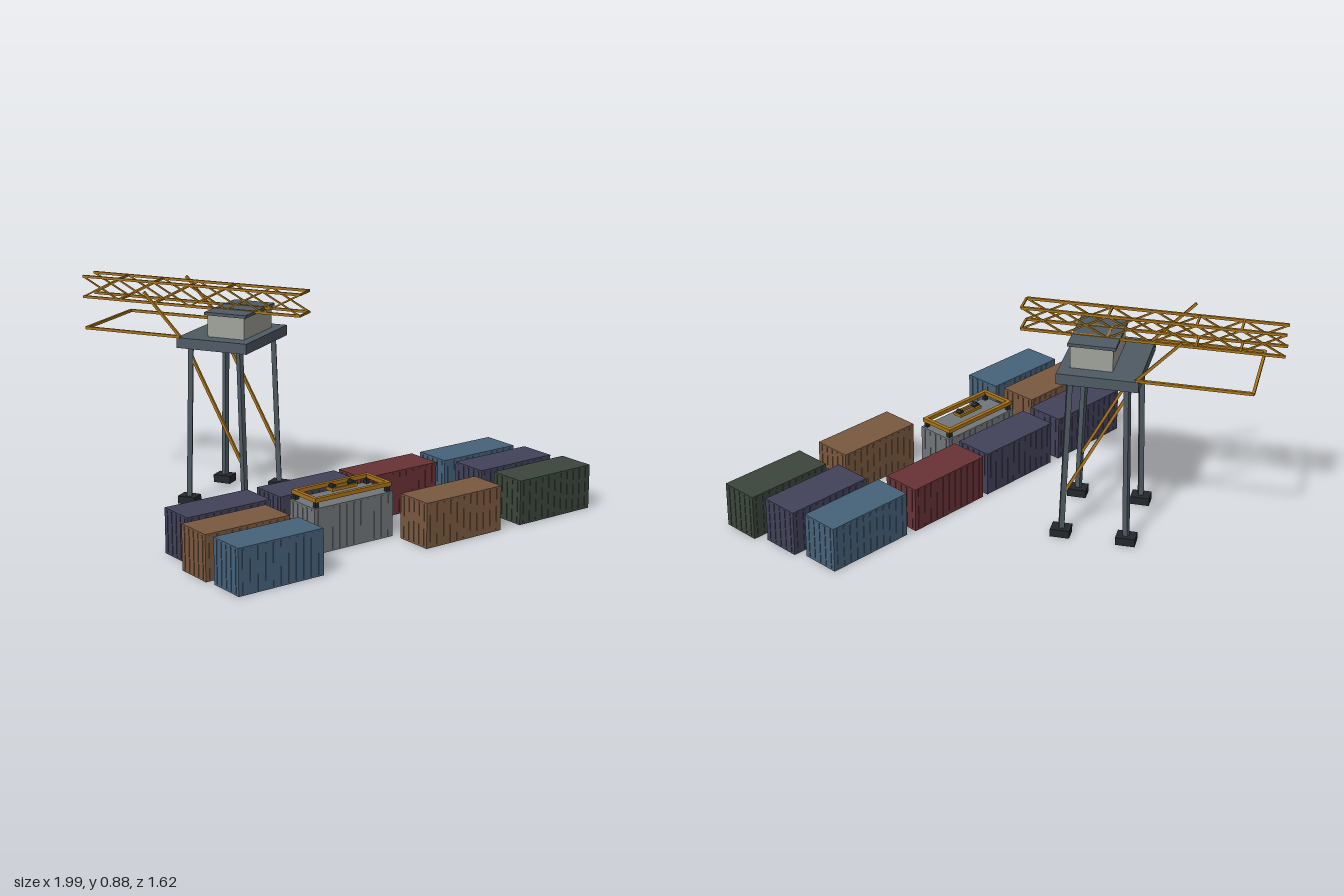
import * as THREE from 'three';

const mat = (color) => new THREE.MeshStandardMaterial({ color, flatShading: true });
const steel = mat(0x4f5a63), dark = mat(0x23272b), yellow = mat(0xa87318), wall = mat(0xa0a39b);

function box(parent, name, m, w, h, d, x, y, z) {
  const mesh = new THREE.Mesh(new THREE.BoxGeometry(w, h, d), m);
  mesh.position.set(x, y, z);
  mesh.name = name;
  parent.add(mesh);
  return mesh;
}

// Square bar running between two points
function beam(parent, name, m, a, b, t) {
  const p = new THREE.Vector3(...a), q = new THREE.Vector3(...b);
  const mesh = new THREE.Mesh(new THREE.BoxGeometry(t, t, p.distanceTo(q)), m);
  mesh.position.copy(p).add(q).multiplyScalar(0.5);
  mesh.lookAt(q);
  mesh.name = name;
  parent.add(mesh);
}

// Shipping container with ribbed walls and a door end
function container(color, x, z) {
  const g = new THREE.Group(), m = mat(color);
  const L = 0.37, W = 0.157, H = 0.18;
  g.name = 'container';
  box(g, 'containerBody', m, L, H, W, 0, H / 2, 0);
  for (let i = 0; i < 11; i++) {
    const rx = -0.165 + i * 0.033;
    for (const s of [-1, 1]) box(g, 'sideRib', m, 0.008, H - 0.014, 0.004, rx, H / 2, s * W / 2);
  }
  for (let i = 0; i < 5; i++) {
    const rz = -0.06 + i * 0.03;
    for (const s of [-1, 1]) box(g, 'endRib', m, 0.004, H - 0.014, 0.006, s * L / 2, H / 2, rz);
  }
  g.position.set(x, 0, z);
  g.rotation.y = Math.PI / 6;
  return g;
}

// Lifting frame resting on the grey container
function spreader(x, z) {
  const g = new THREE.Group();
  g.name = 'spreader';
  const a = 0.172, b = 0.068, y = 0.21;
  for (const s of [-1, 1]) {
    box(g, 'longBar', yellow, 2 * a + 0.016, 0.016, 0.016, 0, y, s * b);
    box(g, 'endBar', yellow, 0.016, 0.016, 2 * b, s * a, y, 0);
    box(g, 'blockSide', yellow, 0.12, 0.012, 0.009, 0, 0.215, s * 0.016);
    box(g, 'blockEnd', yellow, 0.01, 0.012, 0.032, s * 0.055, 0.215, 0);
    for (const t of [-1, 1]) box(g, 'cornerLock', dark, 0.016, 0.03, 0.016, s * (a - 0.004), 0.192, t * (b - 0.004));
    const wheel = new THREE.Mesh(new THREE.CylinderGeometry(0.012, 0.012, 0.024, 10), dark);
    wheel.rotation.x = Math.PI / 2;
    wheel.position.set(s * 0.045, 0.222, 0);
    wheel.name = 'pulley';
    g.add(wheel);
  }
  g.position.set(x, 0, z);
  g.rotation.y = Math.PI / 6;
  return g;
}

function crane() {
  const g = new THREE.Group();
  g.name = 'crane';
  // Platform and machinery house
  box(g, 'platform', steel, 0.306, 0.042, 0.38, 0, 0.669, 0);
  box(g, 'machineHouse', wall, 0.16, 0.09, 0.255, 0.034, 0.735, 0);
  box(g, 'houseRoof', steel, 0.18, 0.012, 0.27, 0.034, 0.784, 0);
  // Legs, feet, braces and rear stays
  for (const sz of [-1, 1]) {
    for (const sx of [-1, 1]) {
      beam(g, 'leg', steel, [sx * 0.125, 0.02, sz * 0.162], [sx * 0.107, 0.66, sz * 0.155], 0.02);
      box(g, 'foot', dark, 0.075, 0.032, 0.06, sx * 0.126, 0.016, sz * 0.16);
    }
    beam(g, 'legBrace', yellow, [-0.11, 0.62, sz * 0.155], [0.118, 0.18, sz * 0.158], 0.011);
    beam(g, 'stay', yellow, [-0.14, 0.69, sz * 0.18], [-0.3, 0.86, sz * 0.18], 0.01);
    beam(g, 'frameSide', yellow, [-0.14, 0.692, sz * 0.182], [-0.568, 0.692, sz * 0.182], 0.011);
  }
  beam(g, 'frameEnd', yellow, [-0.565, 0.692, -0.182], [-0.565, 0.692, 0.182], 0.011);
  // Twin lattice boom
  const x0 = -0.657, n = 6, step = 0.975 / n, lo = 0.787, hi = 0.872;
  for (const z of [-0.045, 0.045]) {
    for (const y of [lo, hi]) beam(g, 'boomChord', yellow, [x0, y, z], [x0 + n * step, y, z], 0.01);
    for (let i = 0; i < n; i++) {
      const a = x0 + i * step, b = a + step;
      beam(g, 'boomLattice', yellow, [a, lo, z], [b, hi, z], 0.006);
      beam(g, 'boomLattice', yellow, [a, hi, z], [b, lo, z], 0.006);
    }
  }
  for (const i of [1, 2, 4, 6]) {
    for (const y of [lo, hi]) beam(g, 'boomLink', yellow, [x0 + i * step, y, -0.045], [x0 + i * step, y, 0.045], 0.008);
  }
  g.position.set(-0.4, 0, -0.375);
  g.rotation.y = -Math.PI / 6;
  return g;
}

export function createModel() {
  const model = new THREE.Group();
  model.name = 'containerYard';
  const blue = 0x46627a, purple = 0x41415a, brown = 0x7a583f, green = 0x3b463b, red = 0x683236, grey = 0x727679;
  const yard = [
    [blue, 0.555, -0.325], [purple, 0.675, -0.17], [green, 0.8, -0.015],
    [red, 0.197, -0.123], [purple, -0.145, 0.075], [purple, -0.505, 0.283],
    [brown, -0.45, 0.48], [blue, -0.343, 0.642], [grey, -0.032, 0.237], [brown, 0.393, 0.219],
  ];
  for (const [c, x, z] of yard) model.add(container(c, x, z));
  model.add(spreader(-0.032, 0.237), crane());
  return model;
}
